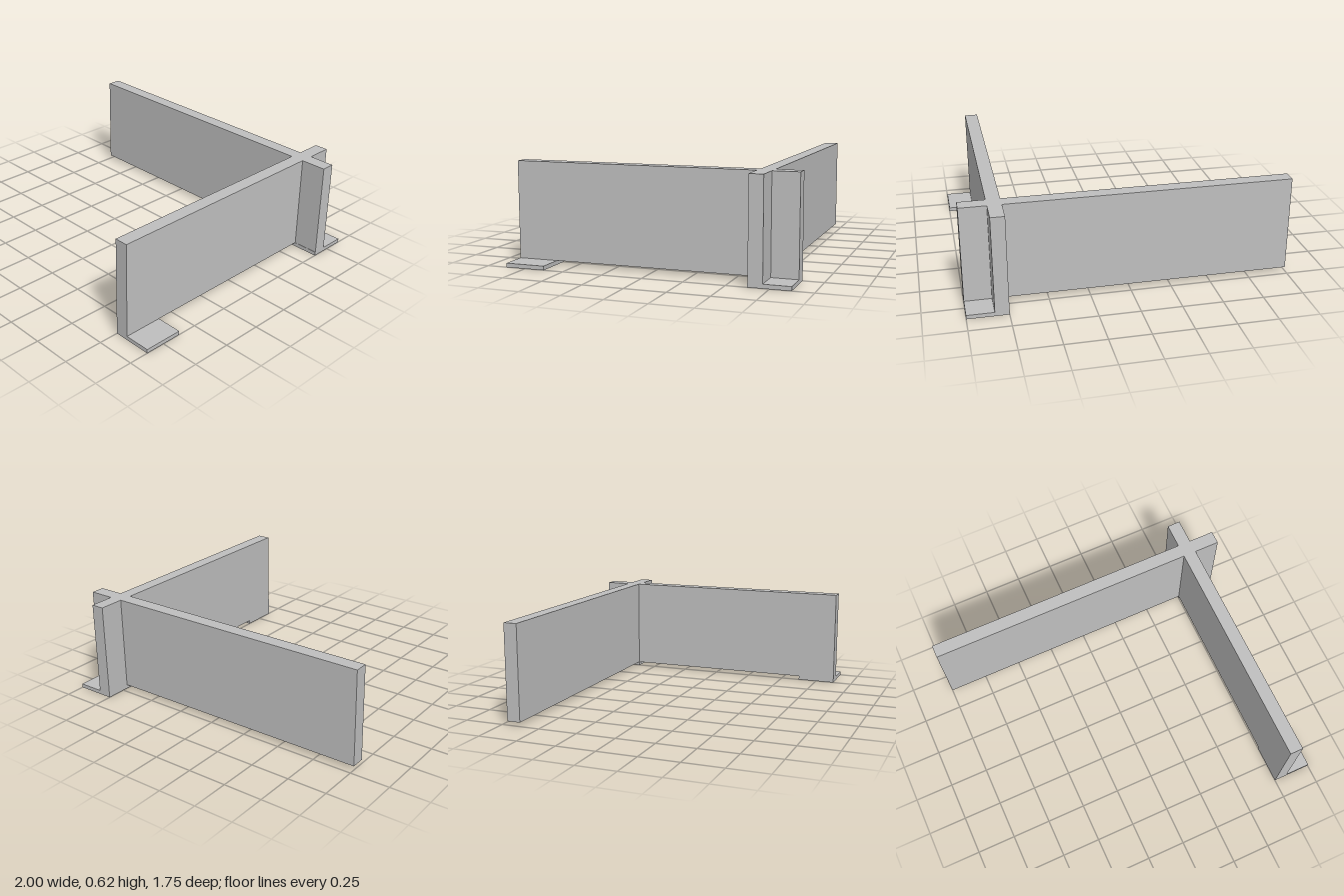
import * as THREE from 'three';

export function createModel() {
  const group = new THREE.Group();
  const grey = new THREE.MeshStandardMaterial({ color: 0xbfbfbf });
  grey.name = 'grey';

  const plateTop = 0.025;
  const wallTop = 0.625;

  // Crossing walls as one solid, drawn as a plan outline (x, -z) and raised
  const x0 = 0.75, x1 = 0.835;    // sides of the long wall running front to back
  const z0 = -0.713, z1 = -0.627; // sides of the wall running left to right
  const outline = [
    [-1, z1], [x0, z1], [x0, 0.875], [x1, 0.875], [x1, z1], [1, z1],
    [1, z0], [x1, z0], [x1, -0.875], [x0, -0.875], [x0, z0], [-1, z0],
  ].map(([x, z]) => new THREE.Vector2(x, -z));
  const wallGeometry = new THREE.ExtrudeGeometry(new THREE.Shape(outline), {
    depth: wallTop - plateTop,
    bevelEnabled: false,
  });
  wallGeometry.rotateX(-Math.PI / 2);
  const walls = new THREE.Mesh(wallGeometry, grey);
  walls.name = 'crossingWalls';
  walls.position.y = plateTop;
  group.add(walls);

  // Square foot plates under the crossing and the front end
  for (const [name, z] of [['cornerFootPlate', -0.75], ['frontFootPlate', 0.75]]) {
    const plate = new THREE.Mesh(new THREE.BoxGeometry(0.25, plateTop, 0.25), grey);
    plate.name = name;
    plate.position.set(0.875, plateTop / 2, z);
    group.add(plate);
  }

  return group;
}
